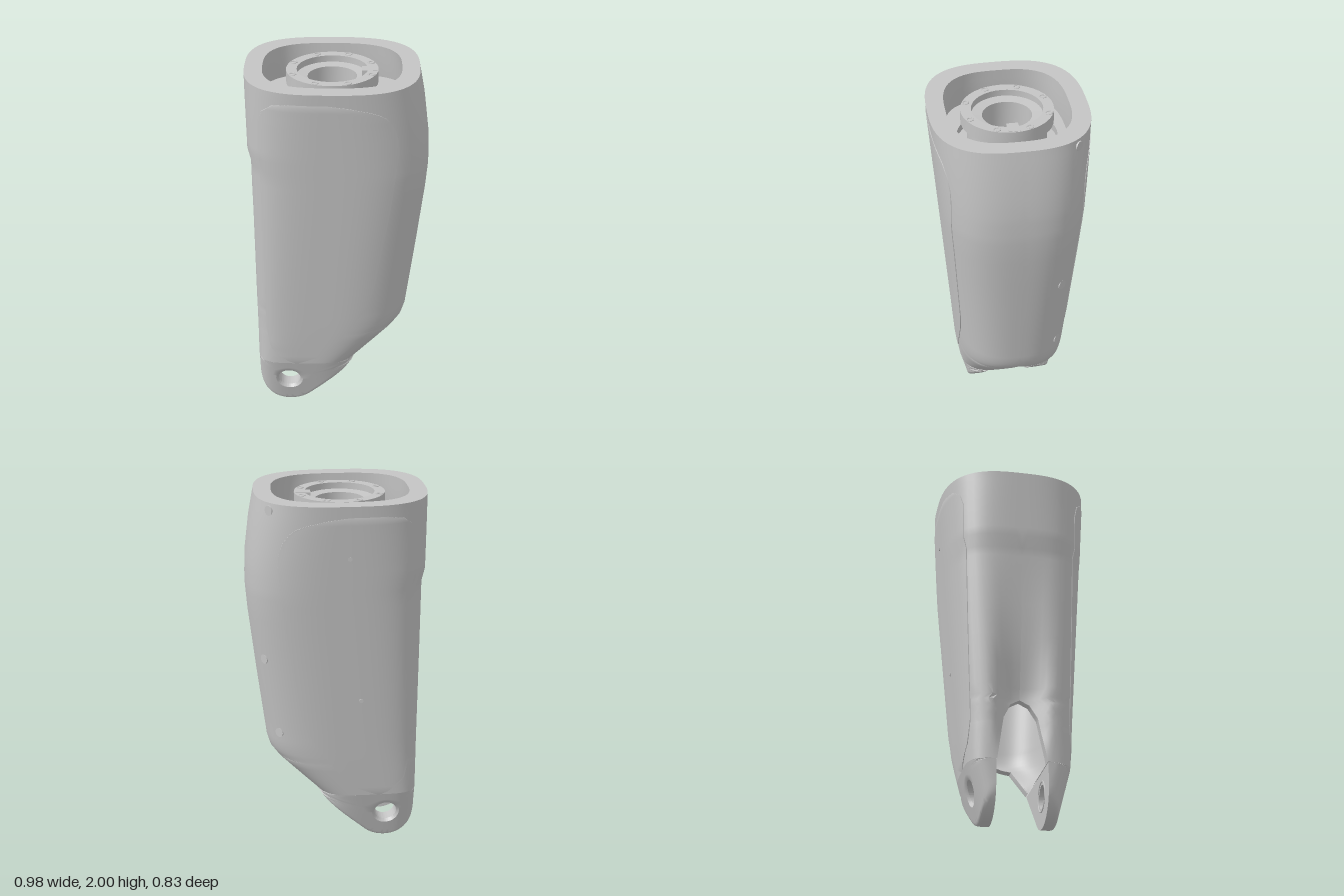
import * as THREE from 'three';
import { toCreasedNormals } from 'three/addons/utils/BufferGeometryUtils.js';

const grey = new THREE.MeshStandardMaterial({ color: 0xc4c4c4, side: THREE.DoubleSide });
grey.name = 'satin grey';

// Piecewise linear lookup in [height, value] pairs listed from the top down
function at(table, y) {
  if (y >= table[0][0]) return table[0][1];
  for (let i = 1; i < table.length; i++) {
    const [y0, v0] = table[i - 1], [y1, v1] = table[i];
    if (y >= y1) return v0 + (v1 - v0) * (y0 - y) / (y0 - y1);
  }
  return table[table.length - 1][1];
}

// Shell profiles by height
const LEFT = [[2, -.49], [1.6, -.482], [1.53, -.464], [.3, -.453]];
const RIGHT = [[2, .43], [1.85, .458], [1.65, .483], [1.5, .487], [1.35, .475], [1, .435], [.6, .385], [.55, .37], [.5, .33], [.3, .112]];
const DEPTH = [[2, .415], [1.5, .375], [1, .335], [.5, .295], [.3, .277]];
const POWER_R = [[2, 2.8], [1.5, 3], [1, 2.75], [.55, 2.6], [.3, 3.4]];
const POWER_L = [[2, 2.9], [1.55, 3.7], [1, 4.2], [.3, 5]];
const GAP_R = [[.53, 0], [.515, .03], [.5, .08], [.28, .135]];
const GAP_L = [[.66, 0], [.63, .05], [.55, .09], [.28, .135]];
const WALL = [[2, .094], [1.85, .088], [1.6, .055], [.3, .055]];
const DISH = [[1.53, 0], [1, .03], [.66, .08], [.45, .06], [.3, 0]];
const FILL = [[.42, 0], [.3, 1]];

function section(y) {
  const l = at(LEFT, y), r = at(RIGHT, y);
  return { cx: (l + r) / 2, hx: (r - l) / 2, hz: at(DEPTH, y), nR: at(POWER_R, y), nL: at(POWER_L, y) };
}

// Depth of the outer skin at a given x and y
function skinZ(x, y) {
  const s = section(y), n = x > s.cx ? s.nR : s.nL;
  const u = Math.min(1, Math.abs((x - s.cx) / s.hx));
  return s.hz * Math.pow(1 - Math.pow(u, n), 1 / n);
}

function makeGeometry(points, index) {
  const g = new THREE.BufferGeometry();
  g.setAttribute('position', new THREE.Float32BufferAttribute(points, 3));
  g.setIndex(index);
  return g;
}

// Mirrors a geometry in z and turns its faces round again
function mirrorZ(source) {
  const g = source.toNonIndexed();
  const p = g.attributes.position;
  for (let i = 0; i < p.count; i += 3) {
    const v = [0, 2, 1].map(k => new THREE.Vector3().fromBufferAttribute(p, i + k));
    v.forEach((q, k) => p.setXYZ(i + k, q.x, q.y, -q.z));
  }
  return g;
}

// Half of the hollow shell, front side
function halfShell() {
  const N = 40, M = 2 * (N + 1), pts = [], idx = [];
  const rows = [2, 1.95, 1.85, 1.75, 1.65, 1.6, 1.53, 1.48, 1.35, 1.2, 1, .85, .72, .66, .63, .6, .575, .55, .53, .515, .5, .46, .42, .36, .3];
  for (const y of rows) {
    const s = section(y), gR = at(GAP_R, y), gL = at(GAP_L, y), t = at(WALL, y), fill = at(FILL, y);
    const end = (g, n) => Math.atan2(g / s.hz, Math.pow(1 - Math.pow(g / s.hz, n), 1 / n));
    const a0 = end(gR, s.nR), a1 = Math.PI - end(gL, s.nL);
    const outer = [], inner = [];
    for (let i = 0; i <= N; i++) {
      const a = a0 + (a1 - a0) * i / N, c = Math.cos(a), q = Math.abs(Math.sin(a));
      const n = c > 0 ? s.nR : s.nL;
      const k = Math.pow(Math.pow(Math.abs(c), n) + Math.pow(q, n), -1 / n);
      let x = s.cx + s.hx * k * c;
      const z = s.hz * k * q, gap = gR + (gL - gR) * i / N;
      if (c < 0) x += at(DISH, y) * Math.max(0, 1 - (z / .15) ** 2);
      outer.push(x, y, z);
      const iz = Math.max(gap, z * (1 - t / s.hz));
      inner.unshift([s.cx + (x - s.cx) * (1 - t / s.hx), y, iz + (gap - iz) * fill]);
    }
    pts.push(...outer, ...inner.flat());
  }
  for (let r = 0; r < rows.length - 1; r++) for (let i = 0; i < M; i++) {
    const j = (i + 1) % M, a = r * M + i, b = r * M + j;
    idx.push(a, b, b + M, a, b + M, a + M);
  }
  // flat top rim
  for (let i = 0; i < N; i++) idx.push(i, M - 1 - i, M - 2 - i, i, M - 2 - i, i + 1);
  return makeGeometry(pts, idx);
}

// Rounded lug below the shell: rings from the pin hole out to the outline
const PIN = { x: -.275, y: .172, r: .062 };
function lug() {
  const R = .172, SLOPE = 5.477, TOP = .3 - PIN.y, BACK = .135;
  const reach = a => {
    if (a >= Math.PI && a <= SLOPE) return R;
    const c = Math.cos(a), s = Math.sin(a), d = Math.cos(a - SLOPE);
    return Math.min(s > 0 ? TOP / s : 9, c < 0 ? -R / c : 9, d > 0 ? R / d : 9);
  };
  const topRight = (R - TOP * Math.sin(SLOPE)) / Math.cos(SLOPE);
  const angles = [Math.atan2(TOP, -R), Math.atan2(TOP, topRight)];
  for (let i = 0; i < 90; i++) angles.push(i / 90 * Math.PI * 2);
  angles.sort((a, b) => a - b);

  const fractions = [0, .2, .4, .6, .8, .9, .96], pts = [], idx = [];
  for (const a of angles) {
    const t = reach(a);
    const put = (r, drop, back) => {
      const x = PIN.x + r * Math.cos(a), y = PIN.y + r * Math.sin(a), low = .3 - y;
      const z = Math.max(BACK + .002, skinZ(x, .3) - .26 * low - drop * low / .3);
      pts.push(x, y, back ? BACK : z);
    };
    put(PIN.r, 0, true);
    put(PIN.r, .03);
    for (const f of fractions) put(.077 + (t - .077) * f, f > .95 ? .004 : 0);
    put(t, .018);
    put(t, 0, true);
  }
  const K = fractions.length + 4, A = angles.length;
  for (let j = 0; j < A; j++) for (let k = 0; k < K; k++) {
    const a = j * K + k, b = j * K + (k + 1) % K, n = ((j + 1) % A) * K;
    const c = n + (k + 1) % K, d = n + k;
    idx.push(a, b, c, a, c, d);
  }
  return makeGeometry(pts, idx);
}

// Thin cover panel that follows the skin
function panel() {
  const L = [[1.94, -.25], [1.925, -.33], [1.88, -.385], [1.8, -.405], [.5, -.395], [.4, -.37], [.33, -.3], [.3, -.24]];
  const R = [[1.94, -.05], [1.92, .1], [1.89, .2], [1.86, .25], [1.8, .295], [1.73, .316], [1.65, .32], [1.3, .28], [.8, .2], [.7, .165], [.62, .12], [.45, 0], [.35, -.1], [.3, -.22]];
  const rows = [1.94, 1.925, 1.9, 1.88, 1.86, 1.83, 1.8, 1.73, 1.65, 1.6, 1.53, 1.45, 1.3, 1.1, .95, .8, .7, .62, .53, .45, .4, .35, .32, .3];
  const C = 30, W = C + 3, pts = [], idx = [];
  rows.forEach((y, r) => {
    for (let i = 0; i < W; i++) {
      const u = Math.min(1, Math.max(0, (i - 1) / C)), x = at(L, y) + (at(R, y) - at(L, y)) * u;
      const edge = i === 0 || i === W - 1 || r === 0 || r === rows.length - 1;
      pts.push(x, y, skinZ(x, y) + (edge ? 0 : .004));
    }
  });
  for (let r = 0; r < rows.length - 1; r++) for (let i = 0; i < W - 1; i++) {
    const a = r * W + i, d = a + W;
    idx.push(a, d, d + 1, a, d + 1, a + 1);
  }
  return makeGeometry(pts, idx);
}

export function createModel() {
  const model = new THREE.Group();
  model.name = 'legCover';
  const add = (name, geometry) => {
    const m = new THREE.Mesh(geometry, grey);
    m.name = name;
    model.add(m);
    return m;
  };
  const addPair = (name, g, crease) => {
    add(name + 'Front', toCreasedNormals(g, crease));
    add(name + 'Back', toCreasedNormals(mirrorZ(g), crease));
  };

  addPair('shell', halfShell(), .9);
  addPair('lug', lug(), .7);
  addPair('coverPanel', panel(), .7);

  // Collars round the pin holes, on the inner faces
  for (const s of [1, -1]) {
    add('pinCollar', new THREE.TorusGeometry(.08, .004, 8, 28)).position.set(PIN.x, PIN.y, s * .135);
  }

  // Cavity floor with a round opening
  const floor = new THREE.Shape();
  for (let i = 0; i < 64; i++) {
    const a = i / 64 * Math.PI * 2, c = Math.cos(a), q = Math.sin(a);
    const k = Math.pow(Math.abs(c) ** 3 + Math.abs(q) ** 3, -1 / 3);
    floor[i ? 'lineTo' : 'moveTo'](-.03 + .39 * k * c, .335 * k * q);
  }
  const opening = new THREE.Path();
  opening.absarc(-.03, 0, .265, 0, Math.PI * 2, true);
  floor.holes.push(opening);
  const floorMesh = add('cavityFloor', new THREE.ShapeGeometry(floor, 24));
  floorMesh.rotation.x = -Math.PI / 2;
  floorMesh.position.y = 1.82;

  // Bearing flange with its stepped bore and neck
  const profile = [[.13, 1.72], [.13, 1.94], [.187, 1.945], [.187, 1.98], [.243, 1.98], [.243, 1.91], [.21, 1.9], [.21, 1.78], [.265, 1.78], [.265, 1.72], [.13, 1.72]];
  const flange = new THREE.LatheGeometry(profile.map(p => new THREE.Vector2(p[0], p[1])), 40);
  add('bearingFlange', toCreasedNormals(flange, .5)).position.x = -.03;
  for (let i = 0; i < 8; i++) {
    const a = (i + .5) * Math.PI / 4;
    const bolt = add('flangeBolt', new THREE.TorusGeometry(.017, .004, 6, 6));
    bolt.rotation.x = Math.PI / 2;
    bolt.position.set(-.03 + .222 * Math.cos(a), 1.98, .222 * Math.sin(a));
  }
  add('flangeKey', new THREE.BoxGeometry(.08, .04, .06)).position.set(.165, 1.962, 0);

  // Screw heads along the rear corner
  for (const [y, z] of [[1.96, .3], [1.12, .225], [.68, .22]]) {
    const s = section(y), w = z / s.hz, n = s.nR;
    const u = Math.pow(1 - Math.pow(w, n), 1 / n);
    const normal = new THREE.Vector3(Math.pow(u, n - 1) / s.hx, 0, -Math.pow(w, n - 1) / s.hz).normalize();
    const screw = add('cornerScrew', new THREE.CylinderGeometry(.026, .026, .008, 20));
    screw.quaternion.setFromUnitVectors(new THREE.Vector3(0, 1, 0), normal);
    screw.position.set(s.cx + s.hx * u, y, -z);
  }

  // Small screws on the rear panel
  for (const [x, y] of [[-.05, 1.72], [-.12, .9]]) {
    const screw = add('panelScrew', new THREE.CylinderGeometry(.012, .012, .008, 12));
    screw.rotation.x = Math.PI / 2;
    screw.position.set(x, y, -skinZ(x, y) - .004);
  }
  return model;
}
